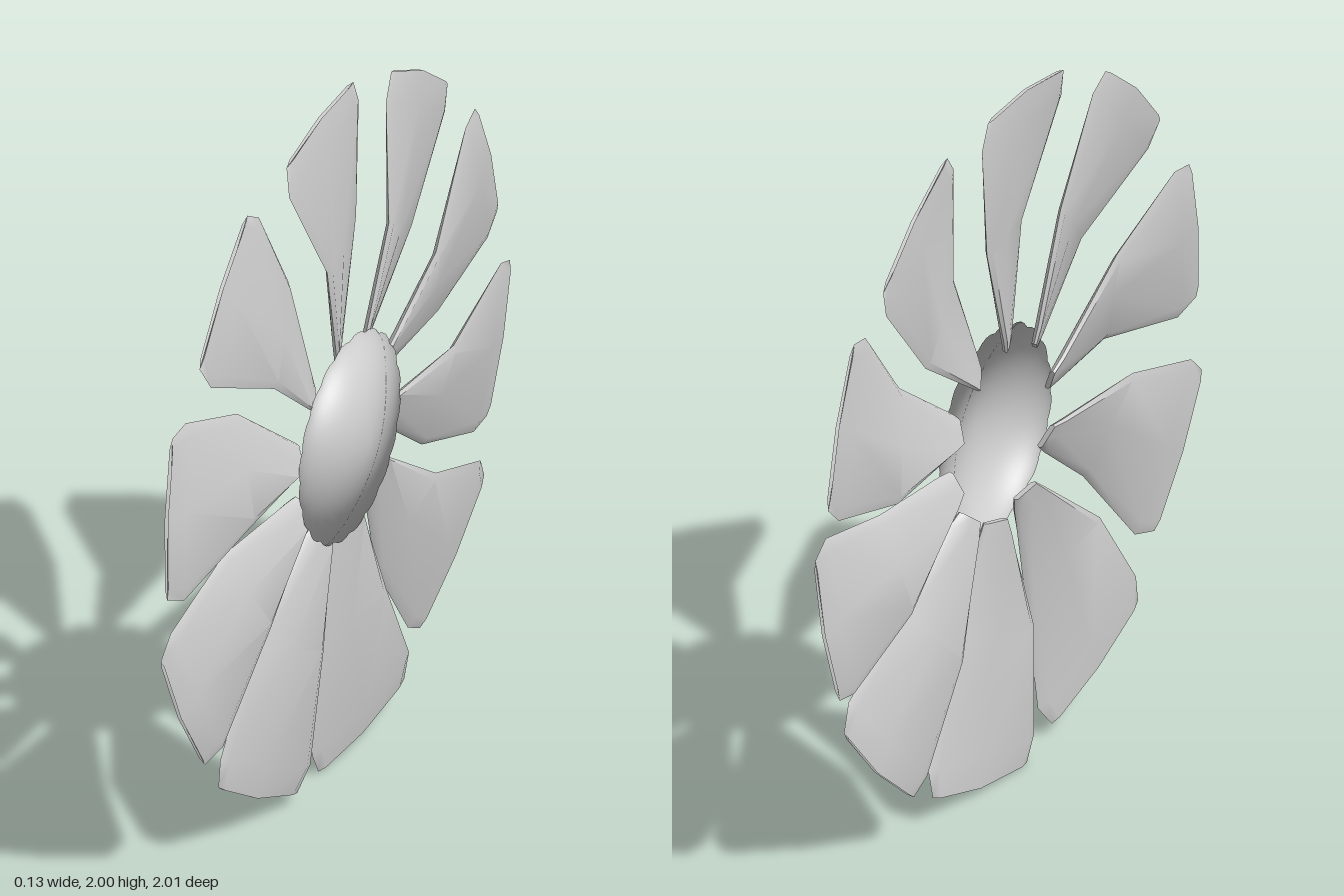
import * as THREE from 'three';
import { toCreasedNormals } from 'three/addons/utils/BufferGeometryUtils.js';

const material = new THREE.MeshStandardMaterial({ color: 0xcccccc, side: THREE.DoubleSide });

// Stations from root to tip: leading edge, trailing edge (each: side, radius, axial), half thickness, bulge of the middle
const stations = [
  { lead: [-0.055, 0.25, -0.005], trail: [0.015, 0.25, -0.035], half: 0.008, bulge: 0 },
  { lead: [-0.07, 0.294, 0.0], trail: [0.032, 0.294, -0.04], half: 0.01, bulge: 0 },
  { lead: [-0.15, 0.572, 0.015], trail: [0.15, 0.604, -0.058], half: 0.011, bulge: 0 },
  { lead: [-0.315, 0.875, -0.015], trail: [0.176, 0.925, -0.058], half: 0.011, bulge: 0.01 },
  { lead: [-0.305, 0.957, -0.028], trail: [0.145, 0.996, -0.058], half: 0.005, bulge: 0.022 },
];

// Cross-section loop: across the front from lead to trail, then back again
const section = [[0, 0], [0.07, 1], [0.5, 1], [0.93, 1], [1, 0], [0.93, -1], [0.5, -1], [0.07, -1]];

function bladeGeometry() {
  const positions = [], index = [], n = section.length;
  for (const { lead, trail, half, bulge } of stations) {
    for (const [t, side] of section) {
      const [s, r, x] = lead.map((v, i) => THREE.MathUtils.lerp(v, trail[i], t));
      positions.push(x + side * half, r + bulge * 4 * t * (1 - t), -s);
    }
  }
  for (let i = 0; i < stations.length - 1; i++) {
    for (let j = 0; j < n; j++) {
      const a = i * n + j, b = i * n + (j + 1) % n;
      index.push(a, b, b + n, a, b + n, a + n);
    }
  }
  // End caps
  const tip = (stations.length - 1) * n;
  for (let k = 1; k < n - 1; k++) {
    index.push(tip, tip + k, tip + k + 1);
    index.push(0, k + 1, k);
  }
  const geometry = new THREE.BufferGeometry();
  geometry.setAttribute('position', new THREE.Float32BufferAttribute(positions, 3));
  geometry.setIndex(index);
  return toCreasedNormals(geometry, THREE.MathUtils.degToRad(60));
}

// Shallow open dome that keeps the round shading of a half sphere, with a scalloped rim
function hubGeometry() {
  const radius = 0.3;
  const geometry = new THREE.SphereGeometry(radius, 80, 12, 0, Math.PI * 2, 0, Math.PI / 2);
  geometry.rotateZ(-Math.PI / 2);
  const p = geometry.attributes.position;
  for (let i = 0; i < p.count; i++) {
    const y = p.getY(i), z = p.getZ(i), r = Math.hypot(y, z);
    const scallop = 1 - 0.03 * (r / radius) ** 8 * (1 - Math.abs(Math.sin(10 * Math.atan2(z, y))));
    p.setXYZ(i, 0.065 - 0.19 * r - 0.03 * r * r, y * scallop, z * scallop);
  }
  return geometry;
}

export function createModel() {
  const model = new THREE.Group();
  model.name = 'fanWheel';

  const rotor = new THREE.Group();
  rotor.name = 'rotor';
  rotor.position.y = 1;
  model.add(rotor);

  const hub = new THREE.Mesh(hubGeometry(), material);
  hub.name = 'hub';
  rotor.add(hub);

  // Ten pitched blades, slightly unevenly spaced
  const geometry = bladeGeometry();
  for (let k = 0; k < 10; k++) {
    const angle = (k / 10) * Math.PI * 2;
    const blade = new THREE.Mesh(geometry, material);
    blade.name = `blade${k + 1}`;
    blade.rotation.x = -(angle + 0.042 * (Math.cos(angle) - 1));
    rotor.add(blade);
  }
  return model;
}
